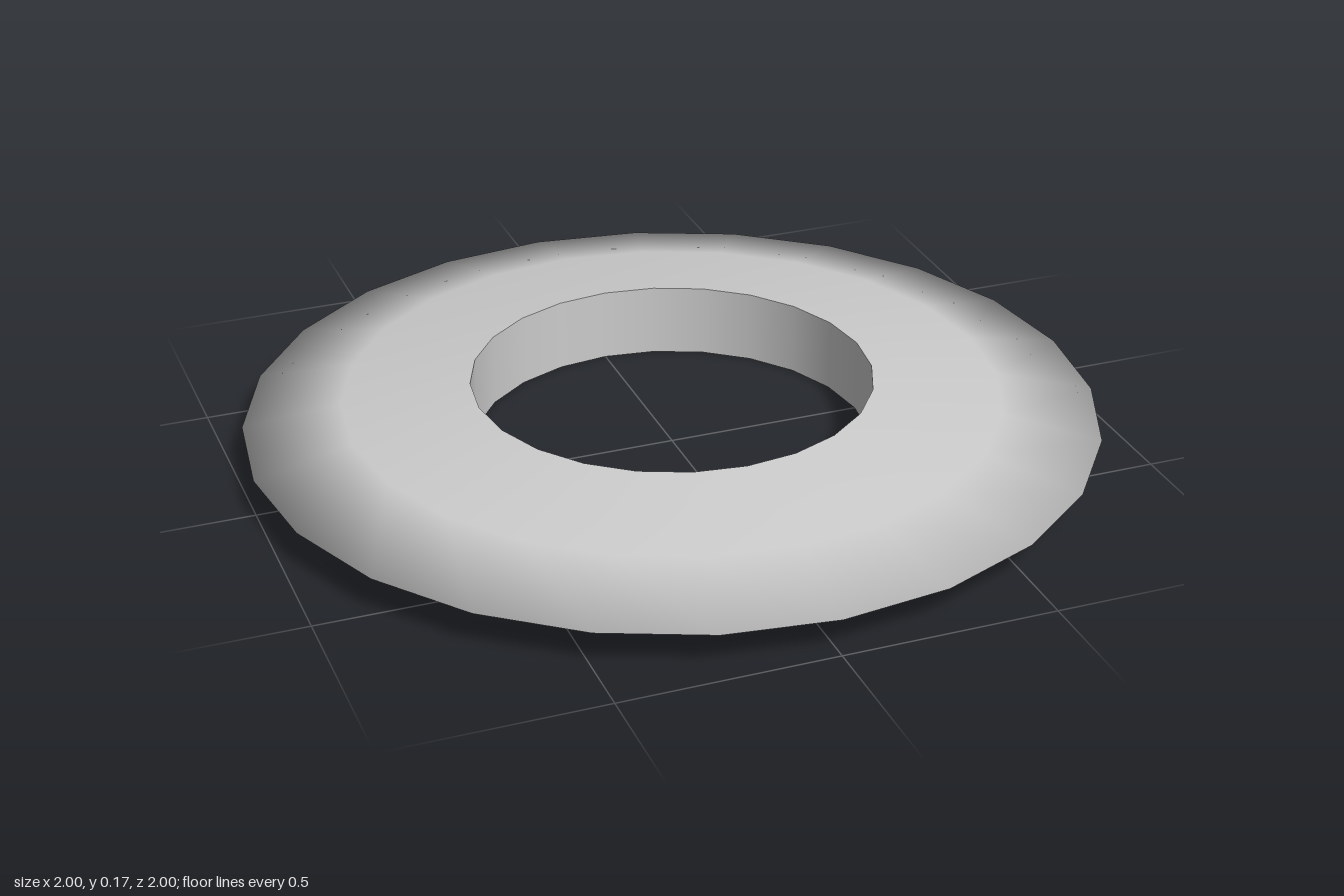
import * as THREE from 'three';

const SIDES = 24;
const HEIGHT = 0.175;
const HOLE = 0.47;

// Revolves [radius, y] pairs around the y axis
function lathe(name, profile, material) {
  const points = profile.map(([r, y]) => new THREE.Vector2(r, y));
  const mesh = new THREE.Mesh(new THREE.LatheGeometry(points, SIDES), material);
  mesh.name = name;
  return mesh;
}

export function createModel() {
  const group = new THREE.Group();
  group.name = 'ring';
  const material = new THREE.MeshStandardMaterial({ color: 0xcccccc });

  // Tapered outer body: underside, thin rim, then top, smooth across the rim
  group.add(lathe('ringBody', [
    [HOLE, 0],
    [0.77, 0.038],
    [1, HEIGHT / 2],
    [0.77, HEIGHT - 0.038],
    [HOLE, HEIGHT],
  ], material));

  // Straight wall of the hole, facing the axis, with sharp edges
  group.add(lathe('holeWall', [[HOLE, HEIGHT], [HOLE, 0]], material));

  return group;
}
